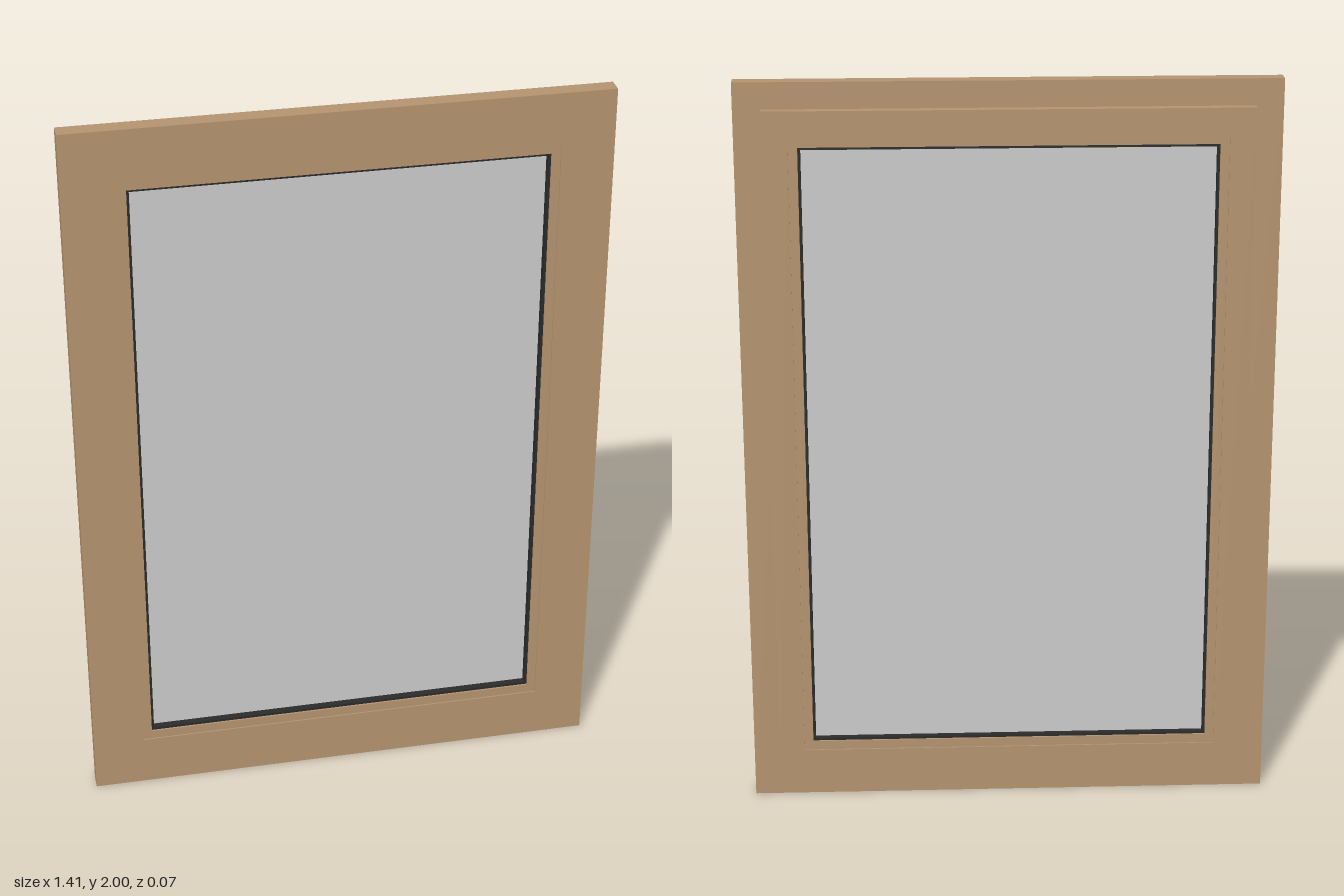
import * as THREE from 'three';

export function createModel() {
  const model = new THREE.Group();
  model.name = 'window';

  const material = (name, color) => {
    const m = new THREE.MeshStandardMaterial({ color });
    m.name = name;
    return m;
  };
  const wood = material('wood', 0xb59470);
  const rubber = material('dark rubber', 0x2b2b2b);
  const pane = material('grey glass', 0xcccccc);

  // Box given by its limits on each axis
  function box(name, mat, x0, x1, y0, y1, z0, z1, parent = model) {
    const mesh = new THREE.Mesh(new THREE.BoxGeometry(x1 - x0, y1 - y0, z1 - z0), mat);
    mesh.position.set((x0 + x1) / 2, (y0 + y1) / 2, (z0 + z1) / 2);
    mesh.name = name;
    parent.add(mesh);
  }

  // Rectangular ring: two full-height stiles with rails between them
  // outer and inner are [half width, bottom, top]
  function ring(name, mat, outer, inner, z0, z1) {
    const group = new THREE.Group();
    group.name = name;
    const [ow, ob, ot] = outer;
    const [iw, ib, it] = inner;
    box(name + 'RightStile', mat, -ow, -iw, ob, ot, z0, z1, group);
    box(name + 'LeftStile', mat, iw, ow, ob, ot, z0, z1, group);
    box(name + 'BottomRail', mat, -iw, iw, ob, ib, z0, z1, group);
    box(name + 'TopRail', mat, -iw, iw, it, ot, z0, z1, group);
    model.add(group);
  }

  const opening = [0.567, 0.143, 1.86];
  const beadInner = [0.543, 0.168, 1.835];
  const glassEdge = [0.536, 0.175, 1.828];

  // Wide front frame and the narrower rebate frame behind it
  ring('frame', wood, [0.707, 0, 2], opening, -0.01, 0.036);
  ring('rebate', wood, [0.635, 0.1, 1.93], opening, -0.037, -0.01);

  // Glazing bead, set just below the faces of the frame
  ring('bead', wood, opening, beadInner, -0.033, 0.032);

  // Seal around the glass
  ring('seal', rubber, beadInner, glassEdge, -0.028, 0.027);

  // Glass
  const [gw, gb, gt] = glassEdge;
  box('glass', pane, -gw, gw, gb, gt, -0.012, 0.008);

  return model;
}
